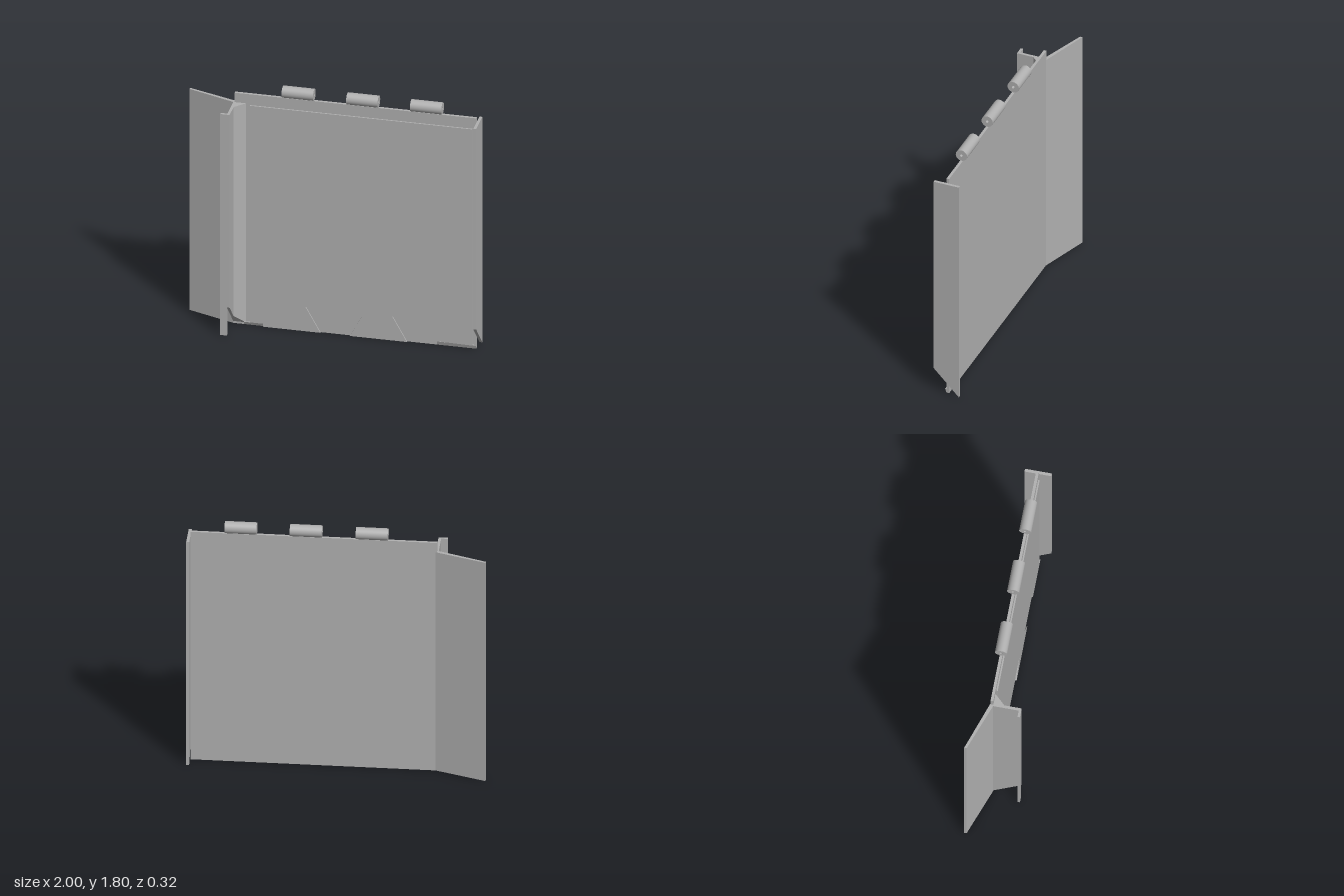
import * as THREE from 'three';

const steel = new THREE.MeshStandardMaterial({ color: 0xb0b0b0 });
steel.name = 'grey steel';

// Vertical prism from a plan outline of [x, z] points; bottom(z) gives the height of its lower cut.
function planPart(name, points, top, bottom = () => 0) {
  const shape = new THREE.Shape(points.map(([x, z]) => new THREE.Vector2(x, -z)));
  const geo = new THREE.ExtrudeGeometry(shape, { depth: top, bevelEnabled: false });
  geo.rotateX(-Math.PI / 2);
  const p = geo.attributes.position;
  for (let i = 0; i < p.count; i++) {
    if (p.getY(i) < top / 2) p.setY(i, Math.max(0, bottom(p.getZ(i))));
  }
  geo.computeVertexNormals();
  return named(name, geo);
}

function named(name, geo) {
  const mesh = new THREE.Mesh(geo, steel);
  mesh.name = name;
  return mesh;
}

const rect = (x0, x1, z0, z1) => [[x0, z0], [x1, z0], [x1, z1], [x0, z1]];

export function createModel() {
  const group = new THREE.Group();
  group.name = 'hingedPanel';
  const back = -0.046, front = -0.027, face = -0.017;

  // Main plate
  group.add(planPart('mainPlate', rect(-0.665, 0.98, back, front), 1.72));

  // Thin front sheet with dovetail recesses along the bottom edge
  const sheet = new THREE.Shape([
    [-0.56, 0.022], [-0.47, 0.022], [-0.47, 0], [-0.08, 0], [-0.18, 0.18], [0.22, 0.18],
    [0.12, 0], [0.51, 0], [0.41, 0.18], [0.715, 0.18], [0.715, 0.03], [0.955, 0.025],
    [0.955, 1.64], [-0.56, 1.64],
  ].map(([x, y]) => new THREE.Vector2(x, y)));
  const sheetGeo = new THREE.ExtrudeGeometry(sheet, { depth: face - front, bevelEnabled: false });
  sheetGeo.translate(0, 0, front);
  group.add(named('frontSheet', sheetGeo));

  // Chamfers under the lower corners of the sheet
  for (const [name, x0, x1, h] of [['leftCornerChamfer', 0.715, 0.98, 0.028], ['rightCornerChamfer', -0.6, -0.47, 0.022]]) {
    const wedge = new THREE.Shape([
      new THREE.Vector2(-front, 0), new THREE.Vector2(-front, h), new THREE.Vector2(-face, h),
    ]);
    const geo = new THREE.ExtrudeGeometry(wedge, { depth: x1 - x0, bevelEnabled: false });
    geo.rotateY(Math.PI / 2).translate(x0, 0, 0);
    group.add(named(name, geo));
  }

  // Wing angled backwards on the right edge
  group.add(planPart('angledWing',
    [[-1, -0.162], [-0.655, back], [-0.655, front], [-0.675, front], [-1, -0.145]], 1.65));

  // Angle bracket: web and gusset cut on a slope, outer lip reaching the floor
  const slope = z => 0.21 + (z - 0.163) * 1.03;
  group.add(planPart('bracketWeb', rect(-0.675, -0.656, front, 0.163), 1.65, slope));
  group.add(planPart('bracketGusset', [[-0.656, front], [-0.587, front], [-0.656, 0.045]], 1.65, slope));
  group.add(planPart('bracketLip', rect(-0.72, -0.675, 0.146, 0.163), 1.65));

  // Edge flange on the left with a sloping foot
  group.add(planPart('edgeFlange', rect(0.98, 1, -0.125, 0.057), 1.685, z => (z + 0.125) * 1.03));

  // Hinge barrels with pin holes along the top edge
  const R = 0.041, r = 0.01, half = 0.107;
  const profile = [[r, -half], [R, -half], [R, half], [r, half], [r, -half]];
  for (const x of [-0.232, 0.208, 0.643]) {
    const barrel = new THREE.Group();
    barrel.name = 'hingeBarrel';
    // Separate lathes for each profile edge keep the rims sharp
    for (let i = 0; i < 4; i++) {
      const pts = [profile[i], profile[i + 1]].map(([a, b]) => new THREE.Vector2(a, b));
      barrel.add(named(['endFace', 'barrelWall', 'endFace', 'pinHole'][i], new THREE.LatheGeometry(pts, 32)));
    }
    barrel.rotation.z = Math.PI / 2;
    barrel.position.set(x, 1.763, (back + front) / 2);
    group.add(barrel);
  }
  return group;
}
